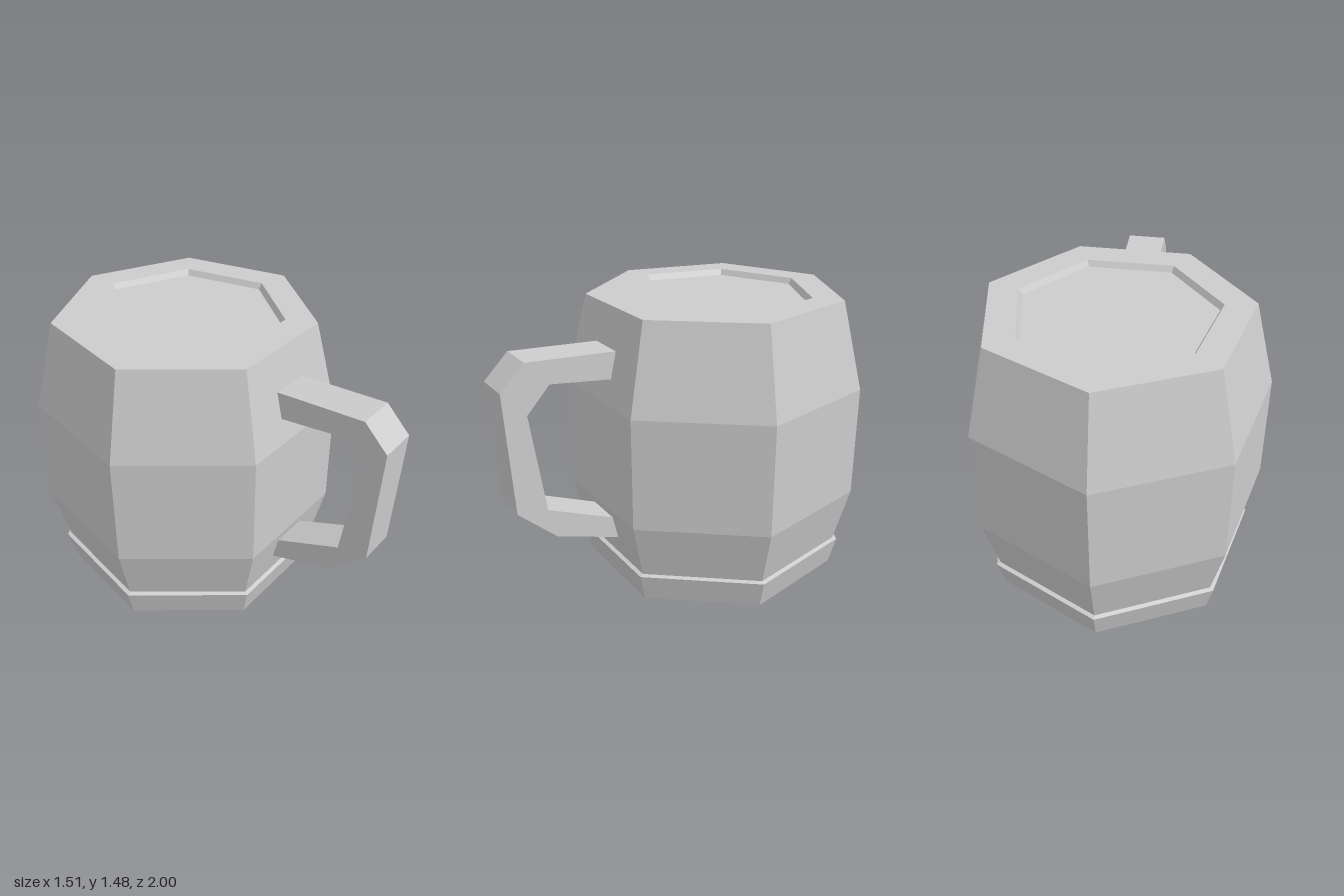
import * as THREE from 'three';

const SIDES = 7;
const CENTER_Z = -0.226;

const material = new THREE.MeshStandardMaterial({ color: 0xcccccc, flatShading: true });

function addMesh(group, name, geometry) {
  const mesh = new THREE.Mesh(geometry, material);
  mesh.name = name;
  group.add(mesh);
  return mesh;
}

// Seven-sided turned shape with one corner pointing to the back
function turned(profile) {
  const points = profile.map(([r, y]) => new THREE.Vector2(r, y));
  return new THREE.LatheGeometry(points, SIDES, Math.PI).translate(0, 0, CENTER_Z);
}

export function createModel() {
  const mug = new THREE.Group();
  mug.name = 'mug';

  // Barrel body: foot band, step, bulging wall, rim and shallow recess
  addMesh(mug, 'body', turned([
    [0, 0], [0.684, 0], [0.721, 0.147], [0.699, 0.154],
    [0.774, 0.45], [0.774, 1.03], [0.661, 1.48],
    [0.503, 1.48], [0.485, 1.45], [0, 1.45],
  ]));

  // Angular handle: side profile as (z, y), ends sunk slightly into the wall
  const profile = [
    [0.39, 1.288], [0.875, 1.315], [1.0, 1.19], [0.967, 0.57], [0.77, 0.39], [0.41, 0.271],
    [0.41, 0.383], [0.81, 0.55], [0.88, 1.06], [0.76, 1.19], [0.39, 1.148],
  ];
  const shape = new THREE.Shape(profile.map(([z, y]) => new THREE.Vector2(z, y)));
  const handle = new THREE.ExtrudeGeometry(shape, { depth: 0.2, bevelEnabled: false });
  handle.rotateY(-Math.PI / 2).translate(0.1, 0, 0);
  addMesh(mug, 'handle', handle);

  return mug;
}
